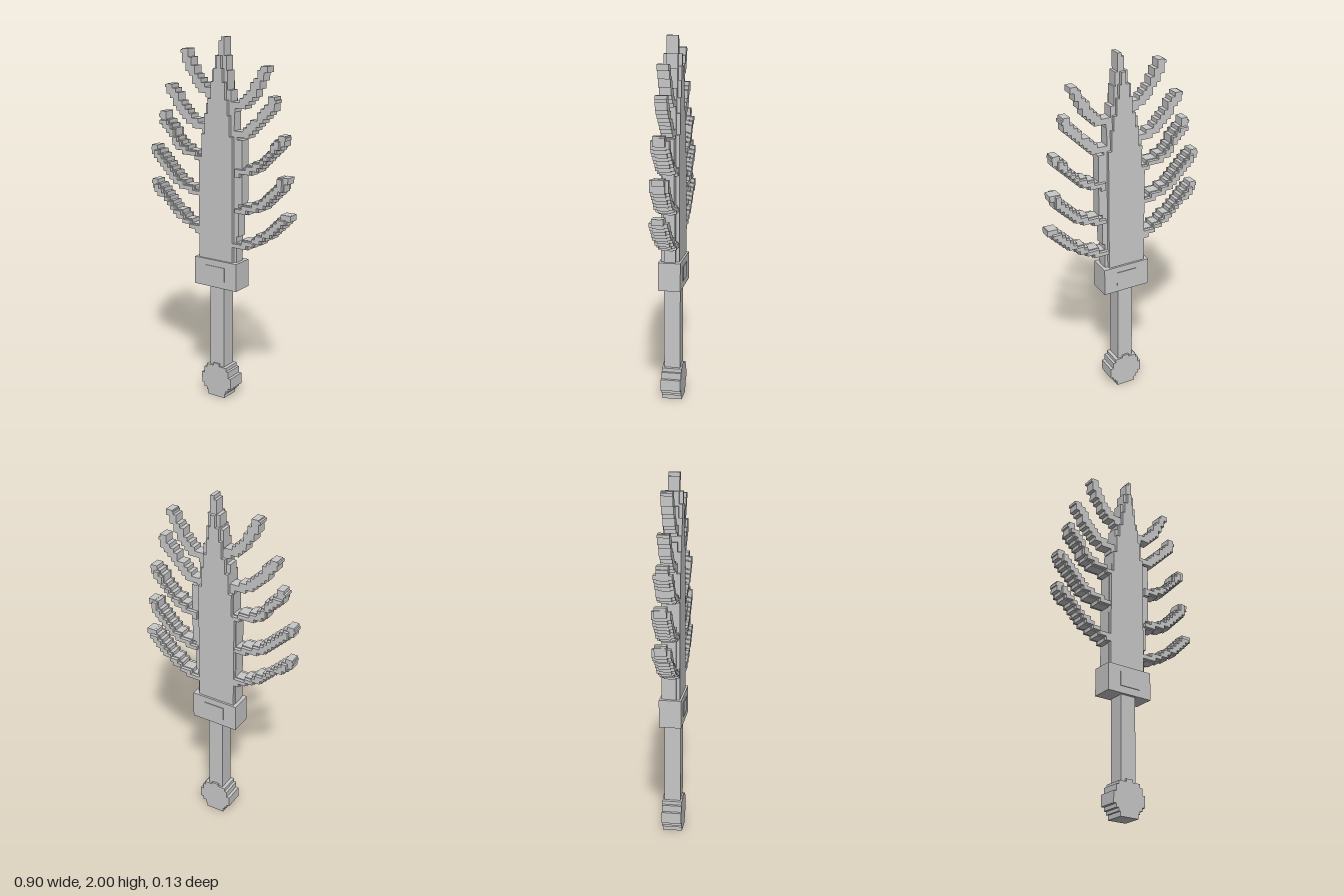
import * as THREE from 'three';
import { mergeGeometries } from 'three/addons/utils/BufferGeometryUtils.js';

const stone = new THREE.MeshStandardMaterial({ color: 0xc8c8c8 });
stone.name = 'stoneGrey';

// Box from its x and y limits and half depth
function block(x0, x1, y0, y1, d) {
  const g = new THREE.BoxGeometry(x1 - x0, y1 - y0, 2 * d);
  return g.translate((x0 + x1) / 2, (y0 + y1) / 2, 0);
}

function part(name, blocks) {
  const mesh = new THREE.Mesh(mergeGeometries(blocks), stone);
  mesh.name = name;
  return mesh;
}

// Stepped branch: a curve snapped to a coarse grid, one block per cell
function branch(points, wide) {
  const curve = new THREE.CatmullRomCurve3(points.map(([x, y]) => new THREE.Vector3(x, y, 0)));
  const cell = 0.0215, seen = new Set(), blocks = [];
  const count = 60;
  for (let i = 0; i <= count; i++) {
    const p = curve.getPoint(i / count);
    const cx = Math.round(p.x / cell), cy = Math.round(p.y / cell);
    const key = cx + ',' + cy;
    if (seen.has(key)) continue;
    seen.add(key);
    const x = cx * cell, y = cy * cell;
    blocks.push(block(x - 0.019, x + 0.019, y - 0.016, y + 0.016, 0.031));
    // wider middle of the rounded section
    if (wide && i > 3) blocks.push(block(x - 0.014, x + 0.014, y - 0.011, y + 0.011, 0.049));
  }
  // flat tip
  const [tx, ty] = points[0];
  blocks.push(block(tx - 0.02, tx + 0.02, ty - 0.008, ty + 0.008, 0.031));
  return blocks;
}

export function createModel() {
  const model = new THREE.Group();
  model.name = 'branchedSword';

  // Round stepped pommel: half width, bottom, top
  const pommelRows = [
    [0.055, 0, 0.025], [0.065, 0.025, 0.042], [0.08, 0.042, 0.062], [0.097, 0.062, 0.125],
    [0.08, 0.125, 0.162], [0.065, 0.162, 0.182], [0.02, 0.182, 0.197],
  ];
  model.add(part('pommel', pommelRows.map(([w, a, b]) => block(-w, w, a, b, 0.055))));

  model.add(part('grip', [block(-0.045, 0.045, 0.18, 0.66, 0.045)]));

  model.add(part('guard', [
    block(-0.137, 0.135, 0.65, 0.805, 0.061),
    block(-0.06, 0.06, 0.69, 0.77, 0.065),
  ]));

  // Blade edge, thin, in rising steps: left, right, bottom, top
  const edgeRows = [
    [-0.118, 0.117, 0.8, 0.95], [-0.118, 0.13, 0.95, 1.13], [-0.118, 0.15, 1.13, 1.36],
    [-0.1, 0.15, 1.36, 1.475], [-0.1, 0.118, 1.475, 1.51], [-0.08, 0.1, 1.51, 1.65],
    [-0.06, 0.078, 1.65, 1.73], [-0.04, 0.058, 1.73, 1.83], [-0.02, 0.05, 1.83, 1.905],
    [0, 0.036, 1.905, 1.98], [0.015, 0.036, 1.98, 2],
  ];
  model.add(part('bladeEdge', edgeRows.map((r) => block(...r, 0.031))));

  // Thicker blade core
  const coreRows = [
    [-0.115, 0.1, 0.8, 1.36], [-0.098, 0.1, 1.36, 1.49], [-0.078, 0.08, 1.49, 1.6],
    [-0.058, 0.068, 1.6, 1.68], [-0.038, 0.05, 1.68, 1.77], [-0.022, 0.036, 1.77, 1.84],
    [0, 0.025, 1.84, 1.905],
  ];
  model.add(part('bladeCore', coreRows.map((r) => block(...r, 0.05))));

  // Branches from top to bottom, each listed from tip to root
  const rightOfModel = [
    [[-0.225, 1.915], [-0.17, 1.81], [-0.11, 1.74], [-0.05, 1.695]],
    [[-0.33, 1.725], [-0.26, 1.63], [-0.18, 1.555], [-0.08, 1.515]],
    [[-0.375, 1.56], [-0.31, 1.475], [-0.23, 1.395], [-0.1, 1.355]],
    [[-0.435, 1.37], [-0.355, 1.285], [-0.26, 1.2], [-0.11, 1.155]],
    [[-0.435, 1.18], [-0.345, 1.095], [-0.245, 1.01], [-0.12, 0.955]],
  ];
  const leftOfModel = [
    [[0.275, 1.85], [0.215, 1.74], [0.16, 1.67], [0.08, 1.64]],
    [[0.33, 1.69], [0.26, 1.595], [0.17, 1.515], [0.11, 1.495]],
    [[0.39, 1.505], [0.325, 1.42], [0.225, 1.335], [0.13, 1.3]],
    [[0.41, 1.3], [0.34, 1.205], [0.23, 1.125], [0.12, 1.095]],
    [[0.425, 1.105], [0.34, 1.02], [0.225, 0.935], [0.11, 0.9]],
  ];
  rightOfModel.forEach((p, i) => model.add(part('rightBranch' + (i + 1), branch(p, i > 1))));
  leftOfModel.forEach((p, i) => model.add(part('leftBranch' + (i + 1), branch(p, i > 1))));

  return model;
}
